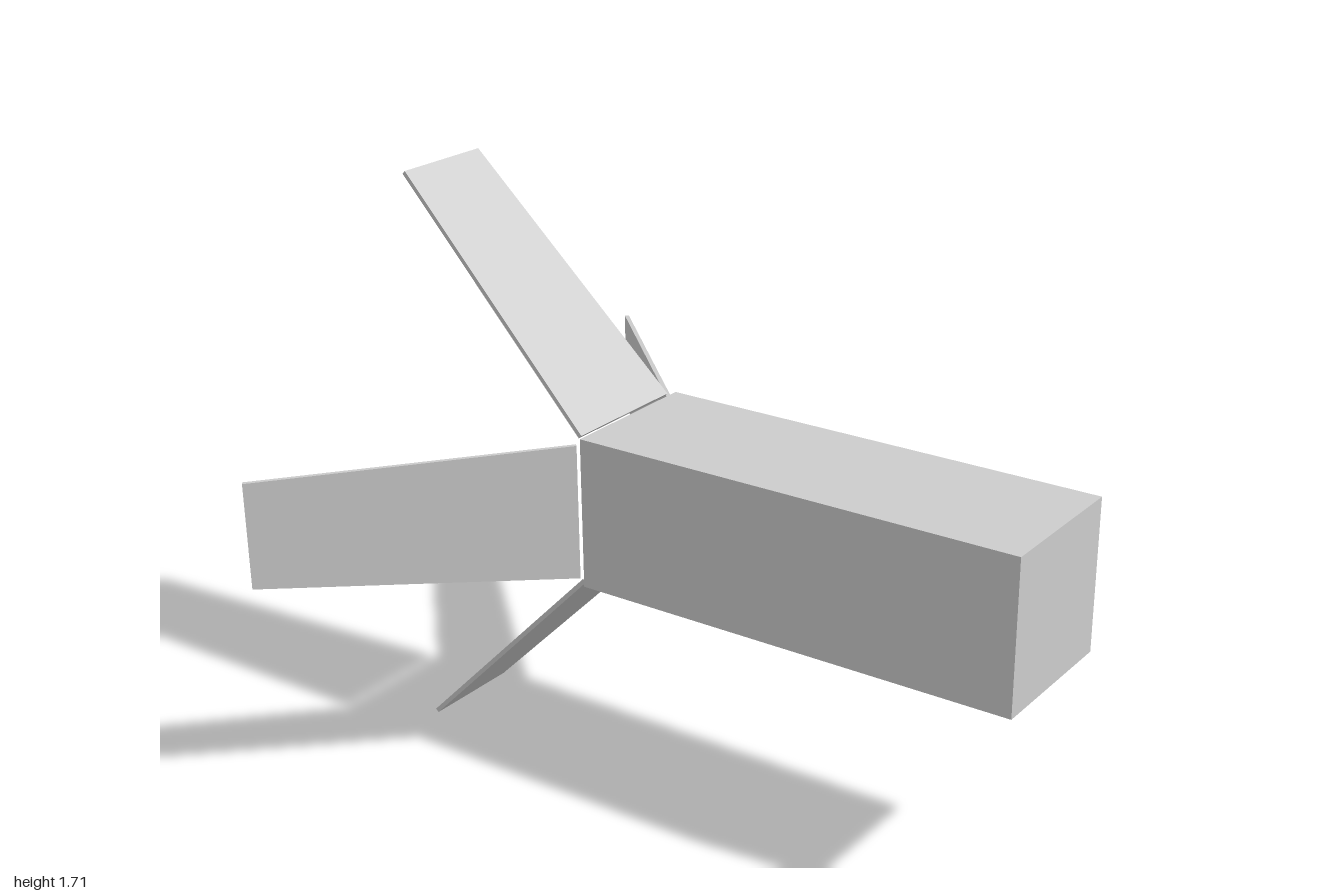
import * as THREE from 'three';

export function createModel() {
  const model = new THREE.Group();
  const grey = new THREE.MeshStandardMaterial({ color: 0xcccccc });
  grey.name = 'light grey';
  const axisY = 0.857;

  // Square body
  const body = new THREE.Mesh(new THREE.BoxGeometry(1.343, 0.445, 0.445), grey);
  body.name = 'body';
  body.position.set(0.3285, axisY, 0);
  model.add(body);

  // Thin tapered fin, swept back at 45 degrees
  const length = 0.898, root = 0.2, tip = 0.156, thickness = 0.013;
  const outline = new THREE.Shape([
    new THREE.Vector2(0, -root),
    new THREE.Vector2(length, -tip),
    new THREE.Vector2(length, tip),
    new THREE.Vector2(0, root),
  ]);
  const finGeometry = new THREE.ExtrudeGeometry(outline, { depth: thickness, bevelEnabled: false });
  finGeometry.translate(0, 0, -thickness / 2);
  finGeometry.rotateX(Math.PI / 2);
  finGeometry.rotateZ(Math.PI * 0.75);
  finGeometry.translate(-0.36, 0.2175, 0);

  // Four fins around the long axis
  const fins = new THREE.Group();
  fins.name = 'tailFins';
  fins.position.y = axisY;
  ['topFin', 'leftFin', 'bottomFin', 'rightFin'].forEach((name, i) => {
    const fin = new THREE.Mesh(finGeometry, grey);
    fin.name = name;
    fin.rotation.x = i * Math.PI / 2;
    fins.add(fin);
  });
  model.add(fins);

  return model;
}
